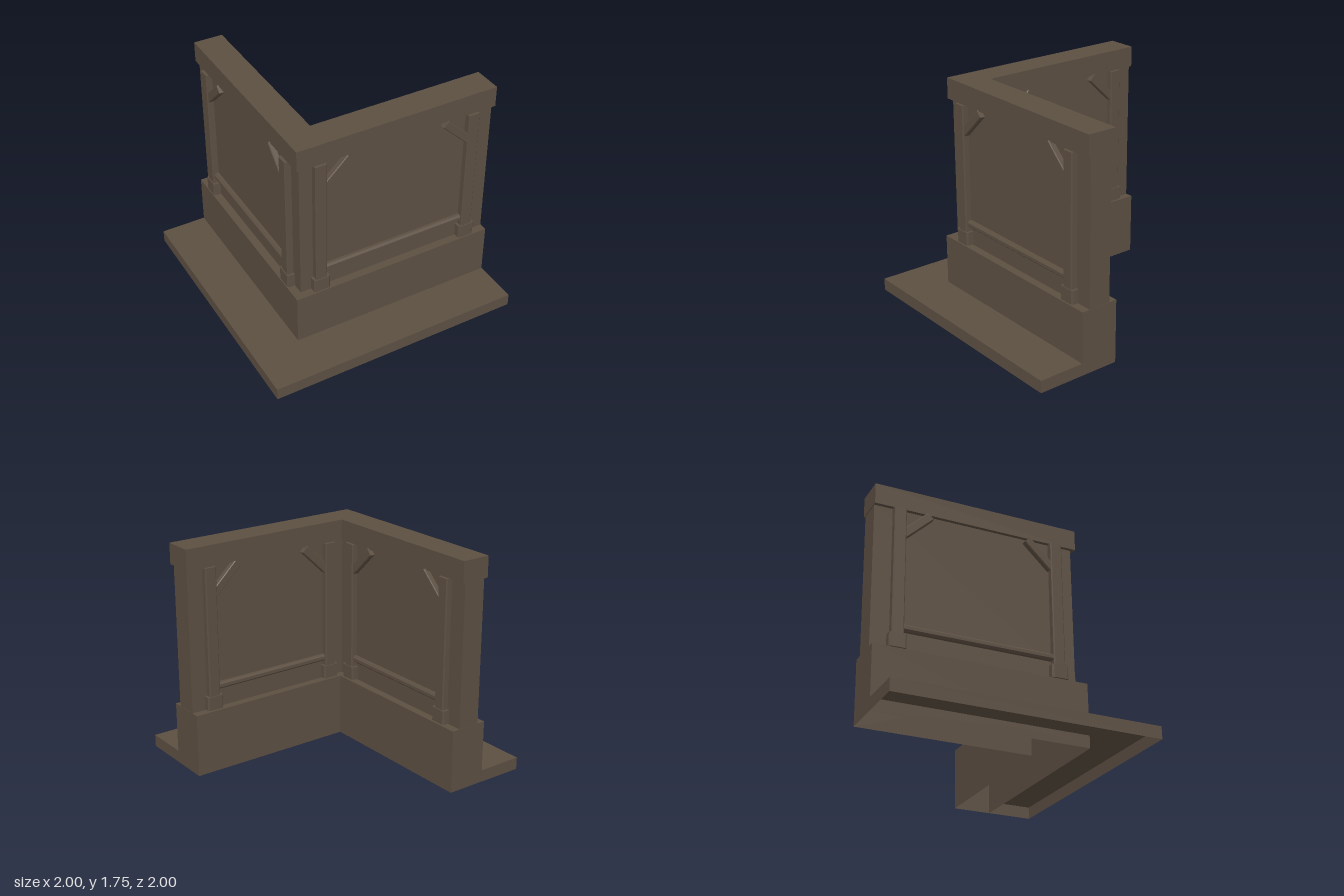
import * as THREE from 'three';

const wood = new THREE.MeshStandardMaterial({ color: 0x5c4f42, side: THREE.DoubleSide });
wood.name = 'brown';

// L-shaped prism around the corner: outer and inner offsets, the two run ends, bottom and top
function corner(name, outer, inner, endX, endZ, y0, y1, openBottom = false) {
  const plan = [[-outer, outer], [endX, outer], [endX, inner], [-inner, inner], [-inner, endZ], [-outer, endZ]];
  const shape = new THREE.Shape(plan.map(([x, z]) => new THREE.Vector2(x, -z)));
  let g = new THREE.ExtrudeGeometry(shape, { depth: y1 - y0, bevelEnabled: false });
  g.rotateX(-Math.PI / 2).translate(0, y0, 0);
  if (openBottom) {
    // leave out the downward cap so the piece is a hollow shell
    const p = g.attributes.position, kept = [];
    for (let i = 0; i < p.count; i += 3) {
      const top = Math.max(p.getY(i), p.getY(i + 1), p.getY(i + 2));
      if (top > y0 + 0.001) for (let k = i; k < i + 3; k++) kept.push(p.getX(k), p.getY(k), p.getZ(k));
    }
    g = new THREE.BufferGeometry();
    g.setAttribute('position', new THREE.Float32BufferAttribute(kept, 3));
    g.computeVertexNormals();
  }
  const mesh = new THREE.Mesh(g, wood);
  mesh.name = name;
  return mesh;
}

// Upright bar with its two front edges chamfered, centred on its length, back at z = 0
function bar(name, width, length, depth, chamfer, x, y, turn = 0) {
  const w = width / 2, c = chamfer;
  const section = [[-w, 0], [w, 0], [w, depth - c], [w - c, depth], [c - w, depth], [-w, depth - c]];
  const shape = new THREE.Shape(section.map(([a, b]) => new THREE.Vector2(a, -b)));
  const g = new THREE.ExtrudeGeometry(shape, { depth: length, bevelEnabled: false });
  g.rotateX(-Math.PI / 2).translate(0, -length / 2, 0);
  const mesh = new THREE.Mesh(g, wood);
  mesh.name = name;
  mesh.position.set(x, y, 0);
  mesh.rotation.z = turn;
  return mesh;
}

// Timber framing for one wall face, with posts at xa and xb
function framing(name, xa, xb, offset, angle) {
  const frame = new THREE.Group();
  for (const [x, s] of [[xa, 1], [xb, -1]]) {
    frame.add(
      bar('post', 0.092, 1.095, 0.05, 0.008, x, 1.0475),
      bar('postFoot', 0.13, 0.105, 0.058, 0.012, x, 0.55),
      bar('brace', 0.065, 0.281, 0.042, 0.006, x + s * 0.1315, 1.4855, -s * 0.805)
    );
  }
  frame.add(bar('rail', 0.052, xb - xa - 0.08, 0.036, 0.014, (xa + xb) / 2, 0.665, Math.PI / 2));
  frame.position.z = offset;
  const side = new THREE.Group();
  side.name = name;
  side.add(frame);
  side.rotation.y = angle;
  return side;
}

export function createModel() {
  const model = new THREE.Group();
  model.name = 'cornerWall';

  // Walkway, plinth, wall and top beam
  model.add(
    corner('walkway', 1, 0.64, 0.99, -1, 0, 0.095, true),
    corner('plinth', 0.64, 0.338, 0.99, -0.997, 0, 0.49, true),
    corner('wall', 0.577, 0.4, 0.988, -0.995, 0.48, 1.6),
    corner('topBeam', 0.605, 0.377, 1, -1, 1.595, 1.755)
  );

  // Timber framing on the four wall faces
  model.add(
    framing('frontFraming', -0.43, 0.81, 0.579, 0),
    framing('outerSideFraming', -0.81, 0.43, 0.579, -Math.PI / 2),
    framing('backFraming', -0.815, 0.255, -0.402, Math.PI),
    framing('innerSideFraming', -0.255, 0.815, -0.402, Math.PI / 2)
  );
  return model;
}
